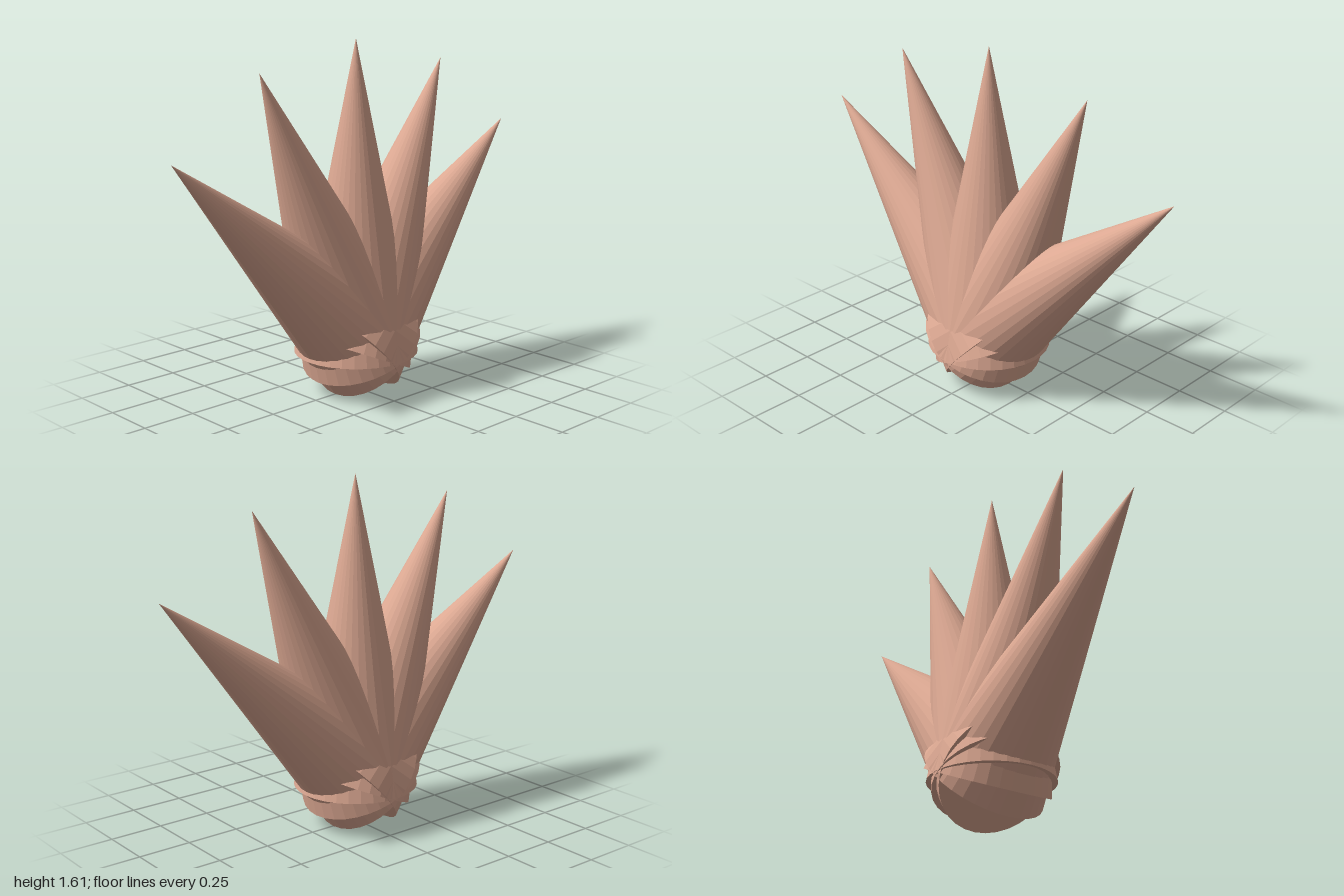
import * as THREE from 'three';

export function createModel() {
  const model = new THREE.Group();
  model.name = 'spikeFan';

  const clay = new THREE.MeshStandardMaterial({ color: 0xdca892, flatShading: true });
  clay.name = 'clay pink';

  // One closed cone, shifted so that it turns about a point just above its base
  const height = 1.425, radius = 0.285, pivotAboveBase = 0.08;
  const spikeGeometry = new THREE.ConeGeometry(radius, height, 32);
  spikeGeometry.translate(0, height / 2 - pivotAboveBase, 0);

  // Five equal spikes fanned out sideways around the shared pivot
  const names = ['outerLeftSpike', 'innerLeftSpike', 'centreSpike', 'innerRightSpike', 'outerRightSpike'];
  const step = THREE.MathUtils.degToRad(24);
  names.forEach((name, i) => {
    const spike = new THREE.Mesh(spikeGeometry, clay);
    spike.name = name;
    spike.position.y = 0.265;
    spike.rotation.z = (i - 2) * step;
    model.add(spike);
  });

  return model;
}
